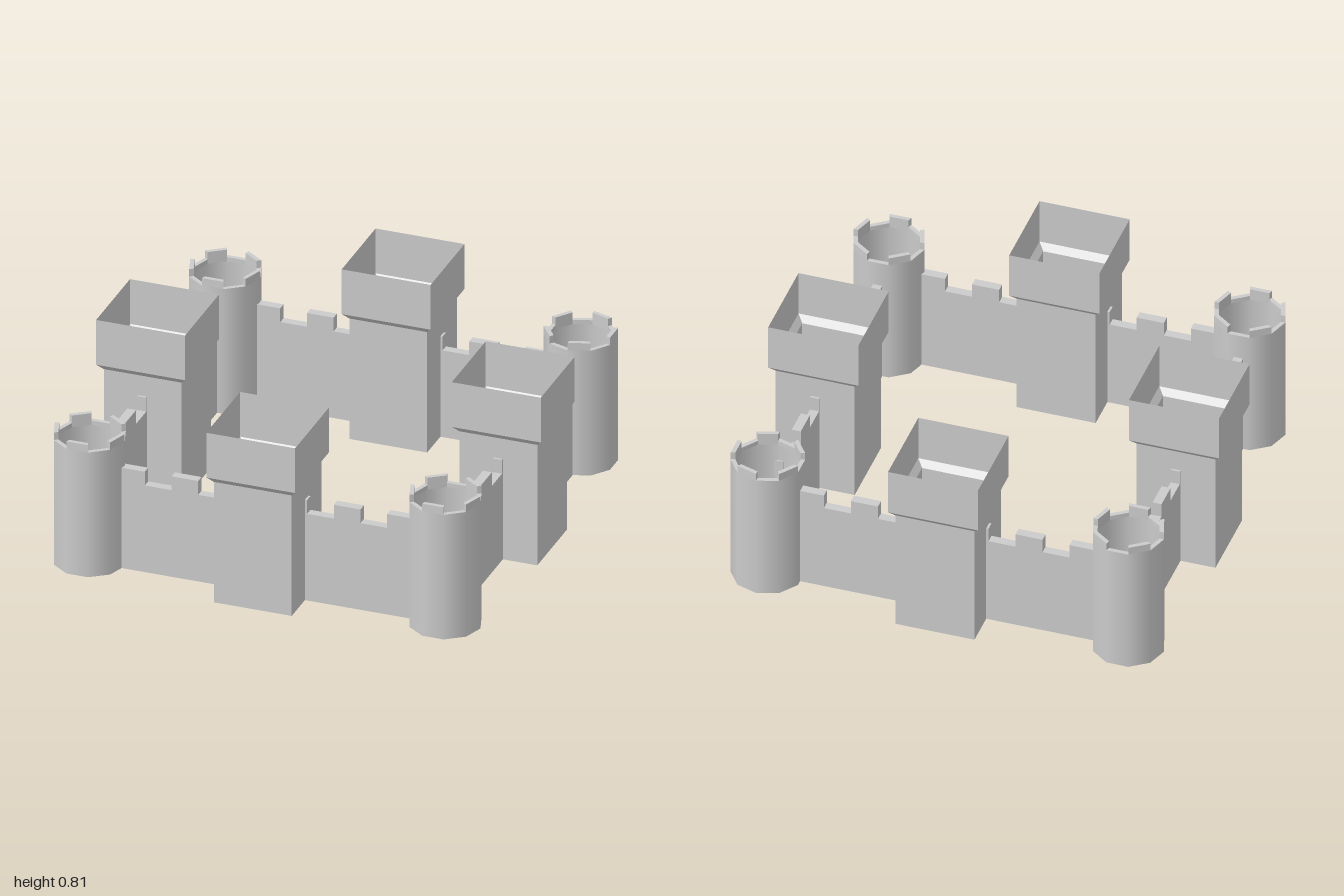
import * as THREE from 'three';

const flat = new THREE.MeshStandardMaterial({ color: 0xcccccc, flatShading: true, side: THREE.DoubleSide });
const smooth = new THREE.MeshStandardMaterial({ color: 0xcccccc, side: THREE.DoubleSide });

const R = 0.157, R_IN = 0.137, SIDES = 10, STEP = Math.PI / 5;
const FLOOR = 0.59, TOP = 0.625;

function add(parent, name, geometry, material) {
  const mesh = new THREE.Mesh(geometry, material);
  mesh.name = name;
  parent.add(mesh);
  return mesh;
}

function lathe(points, sides, start) {
  return new THREE.LatheGeometry(points.map(([x, y]) => new THREE.Vector2(x, y)), sides, start);
}

// Open ten-sided corner tower with a merlon on every second side
function roundTower() {
  const tower = new THREE.Group();
  tower.name = 'roundTower';
  const body = new THREE.CylinderGeometry(R, R, FLOOR, SIDES, 1, true, -STEP / 2);
  body.translate(0, FLOOR / 2, 0);
  add(tower, 'towerBody', body, smooth);
  add(tower, 'parapetRim', lathe([[R, FLOOR], [R_IN, FLOOR], [R_IN, FLOOR - 0.02]], SIDES, -STEP / 2), flat);

  const s = Math.sin(STEP / 2), c = Math.cos(STEP / 2);
  const outline = new THREE.Shape([
    new THREE.Vector2(-R * s, -R * c), new THREE.Vector2(R * s, -R * c),
    new THREE.Vector2(R_IN * s, -R_IN * c), new THREE.Vector2(-R_IN * s, -R_IN * c),
  ]);
  const merlon = new THREE.ExtrudeGeometry(outline, { depth: TOP - FLOOR, bevelEnabled: false });
  merlon.rotateX(-Math.PI / 2);
  for (let i = 0; i < SIDES; i += 2) {
    const mesh = add(tower, 'towerMerlon', merlon, flat);
    mesh.position.y = FLOOR;
    mesh.rotation.y = i * STEP;
  }
  return tower;
}

// Open square tower with a flared, wider top
function squareTower() {
  const profile = [[0.175, 0], [0.175, 0.57], [0.2, 0.598], [0.2, 0.81]];
  const q = Math.SQRT2;
  return lathe(profile.map(([x, y]) => [x * q, y]), 4, Math.PI / 4);
}

// Crenellated wall; the middle stretch is inside the square tower
function curtainWall() {
  const end = 0.65, low = 0.41, high = 0.475, t = 0.04;
  const shape = new THREE.Shape();
  shape.moveTo(-end, 0);
  shape.lineTo(end, 0);
  shape.lineTo(end, high);
  let y = high;
  for (const x of [0.545, 0.425, 0.305, 0.185, -0.185, -0.305, -0.425, -0.545]) {
    shape.lineTo(x, y);
    y = y === high ? low : high;
    shape.lineTo(x, y);
  }
  shape.lineTo(-end, high);
  shape.closePath();
  const geometry = new THREE.ExtrudeGeometry(shape, { depth: t, bevelEnabled: false });
  geometry.translate(0, 0, -t / 2);
  return geometry;
}

export function createModel() {
  const castle = new THREE.Group();
  castle.name = 'castle';

  // Four sides, each a wall with a square tower at its middle
  const wallGeo = curtainWall(), squareGeo = squareTower();
  ['front', 'left', 'back', 'right'].forEach((name, i) => {
    const side = new THREE.Group();
    side.name = name + 'Side';
    add(side, 'curtainWall', wallGeo, flat).position.z = 0.8;
    add(side, 'squareTower', squareGeo, flat).position.z = 0.8;
    side.rotation.y = i * Math.PI / 2;
    castle.add(side);
  });

  // Corner towers; the back left one is turned a quarter
  for (const x of [-0.8, 0.8]) {
    for (const z of [-0.8, 0.8]) {
      const tower = roundTower();
      tower.position.set(x, 0, z);
      if (x > 0 && z < 0) tower.rotation.y = Math.PI / 2;
      castle.add(tower);
    }
  }
  return castle;
}
